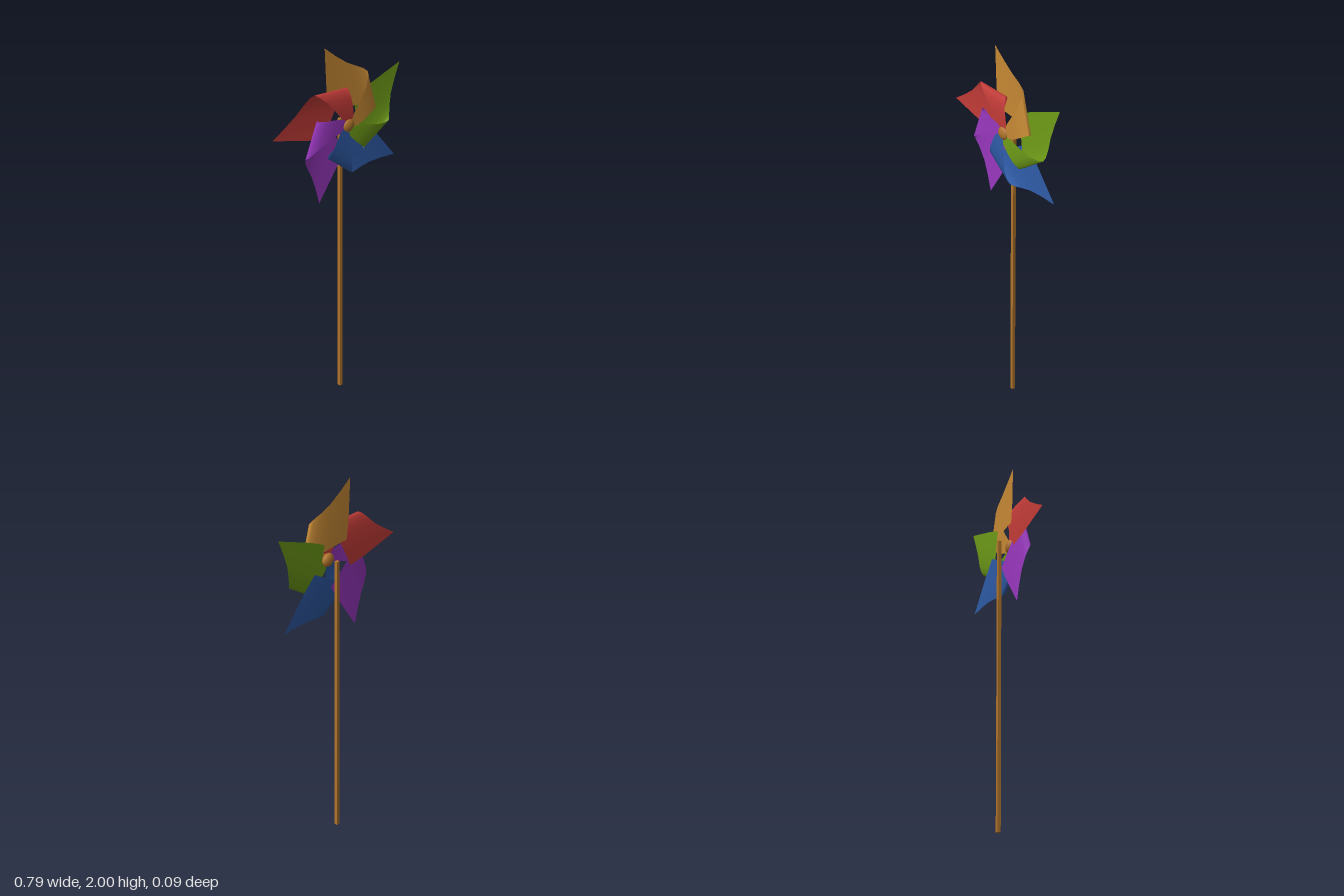
import * as THREE from 'three';

const HUB_X = 0.033, HUB_Y = 1.585;

// Blade cross-sections across the curl, in hundredths: [across, depth, inner end, outer end].
// The sheet starts flat at the back, rolls forward round the fold and returns to the hub.
const SECTIONS = [
  [-6.2, -1.5, 11.2, 11.6],
  [-4.8, -1.5, 10.8, 21.5],
  [0, -1.5, 9.0, 42.9],
  [5, -1.4, 6.9, 35.8],
  [10, -1.2, 4.8, 29.6],
  [14.8, -0.8, 2.6, 25.2],
  [18, 0.0, 1.0, 22.2],
  [19.3, 0.9, 0.5, 20.2],
  [18.5, 2.1, 0.4, 19.0],
  [15, 3.2, -0.5, 14.4],
  [10, 3.3, -1.8, 9.5],
  [5.2, 3.3, -2.6, 5.4],
  [0, 2.8, -0.8, 0.8],
];

function bladeGeometry() {
  const steps = 6, pos = [], index = [];
  SECTIONS.forEach(([v, z, u0, u1], i) => {
    for (let j = 0; j <= steps; j++) {
      // local +y runs to the blade tip, +x towards the fold
      pos.push(v / 100, THREE.MathUtils.lerp(u0, u1, j / steps) / 100, z / 100);
      if (i && j) {
        const d = i * (steps + 1) + j, c = d - 1, b = d - steps - 1, a = b - 1;
        index.push(a, c, b, b, c, d);
      }
    }
  });
  const g = new THREE.BufferGeometry();
  g.setAttribute('position', new THREE.Float32BufferAttribute(pos, 3));
  g.setIndex(index);
  g.computeVertexNormals();
  return g;
}

export function createModel() {
  const model = new THREE.Group();
  model.name = 'pinwheel';
  const wood = new THREE.MeshStandardMaterial({ color: 0xb0742c, flatShading: true });

  // Square stick
  const stick = new THREE.Mesh(new THREE.BoxGeometry(0.018, 1.6, 0.018), wood);
  stick.name = 'stick';
  stick.position.set(HUB_X, 0.8, -0.039);
  model.add(stick);

  // Wheel with five curled blades, clockwise from the top
  const wheel = new THREE.Group();
  wheel.name = 'wheel';
  wheel.position.set(HUB_X, HUB_Y, 0);
  const geometry = bladeGeometry();
  [0xc88a35, 0x6f9c18, 0x2f5ca8, 0x9a38c0, 0xc43c38].forEach((color, i) => {
    const blade = new THREE.Mesh(geometry,
      new THREE.MeshStandardMaterial({ color, side: THREE.DoubleSide }));
    blade.name = 'blade' + (i + 1);
    blade.rotation.z = THREE.MathUtils.degToRad(15.2 - 72 * i);
    wheel.add(blade);
  });

  // Flattened round hub cap
  const hub = new THREE.Mesh(new THREE.SphereGeometry(0.037, 10, 8).rotateX(Math.PI / 2),
    new THREE.MeshStandardMaterial({ color: 0xb0742c }));
  hub.name = 'hub';
  hub.scale.z = 0.55;
  hub.position.z = 0.024;
  wheel.add(hub);

  model.add(wheel);
  return model;
}
